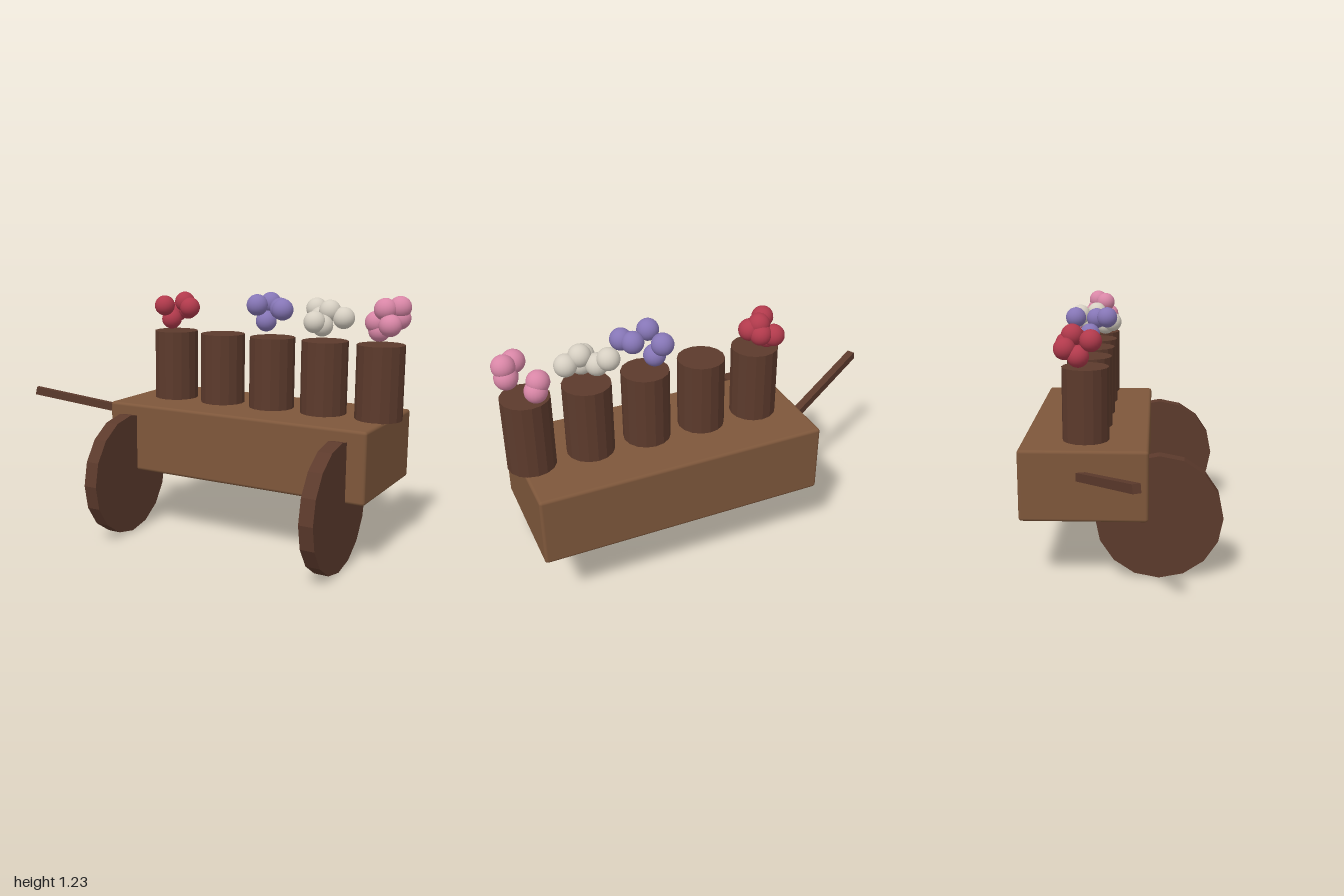
import * as THREE from 'three';
import { RoundedBoxGeometry } from 'three/addons/geometries/RoundedBoxGeometry.js';

const material = (name, color, flatShading = false) => {
  const m = new THREE.MeshStandardMaterial({ color, flatShading });
  m.name = name;
  return m;
};

export function createModel() {
  const cart = new THREE.Group();
  cart.name = 'flowerCart';

  const oak = material('oak', 0x7e573b);
  const darkWood = material('darkWood', 0x5c3a2c, true);

  const add = (parent, name, geometry, mat, x, y, z) => {
    const mesh = new THREE.Mesh(geometry, mat);
    mesh.name = name;
    mesh.position.set(x, y, z);
    parent.add(mesh);
    return mesh;
  };

  // Cart body with slightly softened edges
  add(cart, 'cartBody', new RoundedBoxGeometry(1.385, 0.342, 0.604, 2, 0.015), oak, 0.23, 0.484, -0.176);

  // Two solid wheels set into the front of the body
  const wheelGeometry = new THREE.CylinderGeometry(0.303, 0.303, 0.068, 16);
  wheelGeometry.rotateZ(Math.PI / 2);
  for (const [name, x] of [['rightWheel', -0.335], ['leftWheel', 0.798]]) {
    add(cart, name, wheelGeometry, darkWood, x, 0.305, 0.175);
  }

  // Slanted pull handle
  const tip = new THREE.Vector3(-0.992, 0.657, 0.083);
  const root = new THREE.Vector3(-0.41, 0.522, -0.213);
  const middle = tip.clone().add(root).multiplyScalar(0.5);
  const handle = add(cart, 'handle', new THREE.BoxGeometry(0.038, 0.04, tip.distanceTo(root)),
    darkWood, middle.x, middle.y, middle.z);
  handle.lookAt(tip);

  // Row of five tall pots
  const potGeometry = new THREE.CylinderGeometry(0.112, 0.112, 0.352, 16);
  for (let i = 0; i < 5; i++) {
    add(cart, 'pot' + (i + 1), potGeometry, darkWood, -0.25 + i * 0.279, 0.829, -0.175);
  }

  // Blossom clusters; the second pot stays empty
  const clusters = [
    ['redFlowers', 0xb23a4c, [
      [-0.302, 1.134, -0.145], [-0.235, 1.15, -0.235], [-0.195, 1.123, -0.22],
      [-0.297, 1.06, -0.205], [-0.297, 1.095, -0.267], [-0.232, 1.11, -0.262]]],
    ['purpleFlowers', 0x8676b6, [
      [0.26, 1.165, -0.1], [0.356, 1.148, -0.16], [0.393, 1.148, -0.107],
      [0.265, 1.08, -0.19], [0.254, 1.165, -0.26]]],
    ['whiteFlowers', 0xd6cfc2, [
      [0.505, 1.148, -0.256], [0.545, 1.11, -0.214], [0.608, 1.148, -0.175],
      [0.676, 1.117, -0.18], [0.567, 1.1, -0.09], [0.59, 1.082, -0.127]]],
    ['pinkFlowers', 0xd886a6, [
      [0.815, 1.1, -0.235], [0.83, 1.06, -0.243], [0.922, 1.1, -0.123],
      [0.944, 1.178, -0.188], [0.89, 1.17, -0.143], [0.94, 1.127, -0.198]]],
  ];
  const blossomGeometry = new THREE.SphereGeometry(0.052, 20, 14);
  for (const [name, color, points] of clusters) {
    const bunch = new THREE.Group();
    bunch.name = name;
    const petal = material(name + 'Colour', color);
    for (const p of points) add(bunch, 'blossom', blossomGeometry, petal, ...p);
    cart.add(bunch);
  }

  return cart;
}
